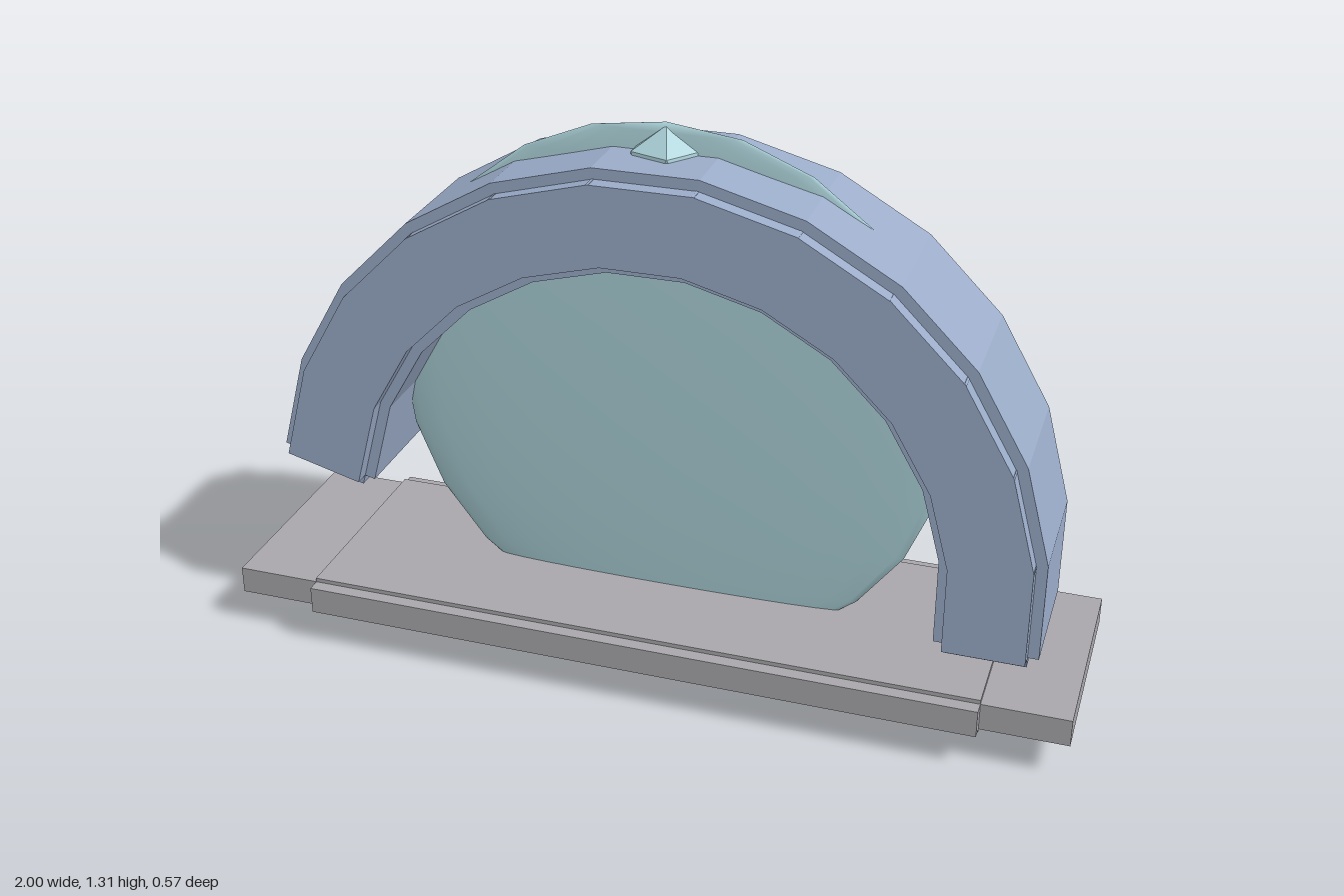
import * as THREE from 'three';

const mat = (name, color, flatShading = false) => {
  const m = new THREE.MeshStandardMaterial({ color, flatShading });
  m.name = name;
  return m;
};

// Three overlapping boxes, each pushed out along one axis, give a stepped edge.
function steppedBlock(name, material, [w, h, d], [stepX, stepY, stepZ]) {
  const group = new THREE.Group();
  group.name = name;
  const sizes = [
    [w + 2 * stepX, h, d],
    [w, h + 2 * stepY, d],
    [w, h, d + 2 * stepZ],
  ];
  for (const size of sizes) {
    const box = new THREE.Mesh(new THREE.BoxGeometry(...size), material);
    box.name = name + 'Box';
    group.add(box);
  }
  return group;
}

export function createModel() {
  const model = new THREE.Group();
  model.name = 'archGate';
  const stone = mat('greyStone', 0xa9a7ac, true);
  const blue = mat('blueStone', 0x9bacc9, true);
  const aqua = mat('aquaGlass', 0xa9cfd6);
  const aquaFacet = mat('aquaCrystal', 0xa9cfd6, true);

  // Base slab
  const base = steppedBlock('base', stone, [1.6, 0.066, 0.506], [0.2, 0.01, 0.031]);
  base.position.y = 0.123;
  model.add(base);

  // Arch of twelve blocks, one longer on the left side than on the right
  const arch = new THREE.Group();
  arch.name = 'arch';
  const centreY = 0.345, inner = 0.695, outer = 0.88, step = 0.025;
  const length = 2 * (outer + step) * Math.tan(Math.PI / 24);
  for (let i = -5; i <= 6; i++) {
    const a = (i * Math.PI) / 12;
    const block = steppedBlock('archBlock', blue,
      [length, outer - inner, 0.296], [step, step, 0.036]);
    // local y points away from the arch centre
    const r = (inner + outer) / 2;
    block.position.set(Math.sin(a) * r, centreY + Math.cos(a) * r, 0);
    block.rotation.z = -a;
    arch.add(block);
  }
  model.add(arch);

  // Thin lens filling the arch
  const lens = new THREE.Mesh(new THREE.SphereGeometry(0.655, 24, 12), aqua);
  lens.name = 'lens';
  lens.scale.z = 0.042;
  lens.position.y = 0.66;
  model.add(lens);

  // Crystal set in the top block, one corner up
  const crystal = new THREE.Mesh(new THREE.IcosahedronGeometry(0.09, 0), aquaFacet);
  crystal.name = 'crystal';
  crystal.rotation.z = -Math.atan(2 / (1 + Math.sqrt(5)));
  crystal.position.y = 1.217;
  model.add(crystal);

  return model;
}
